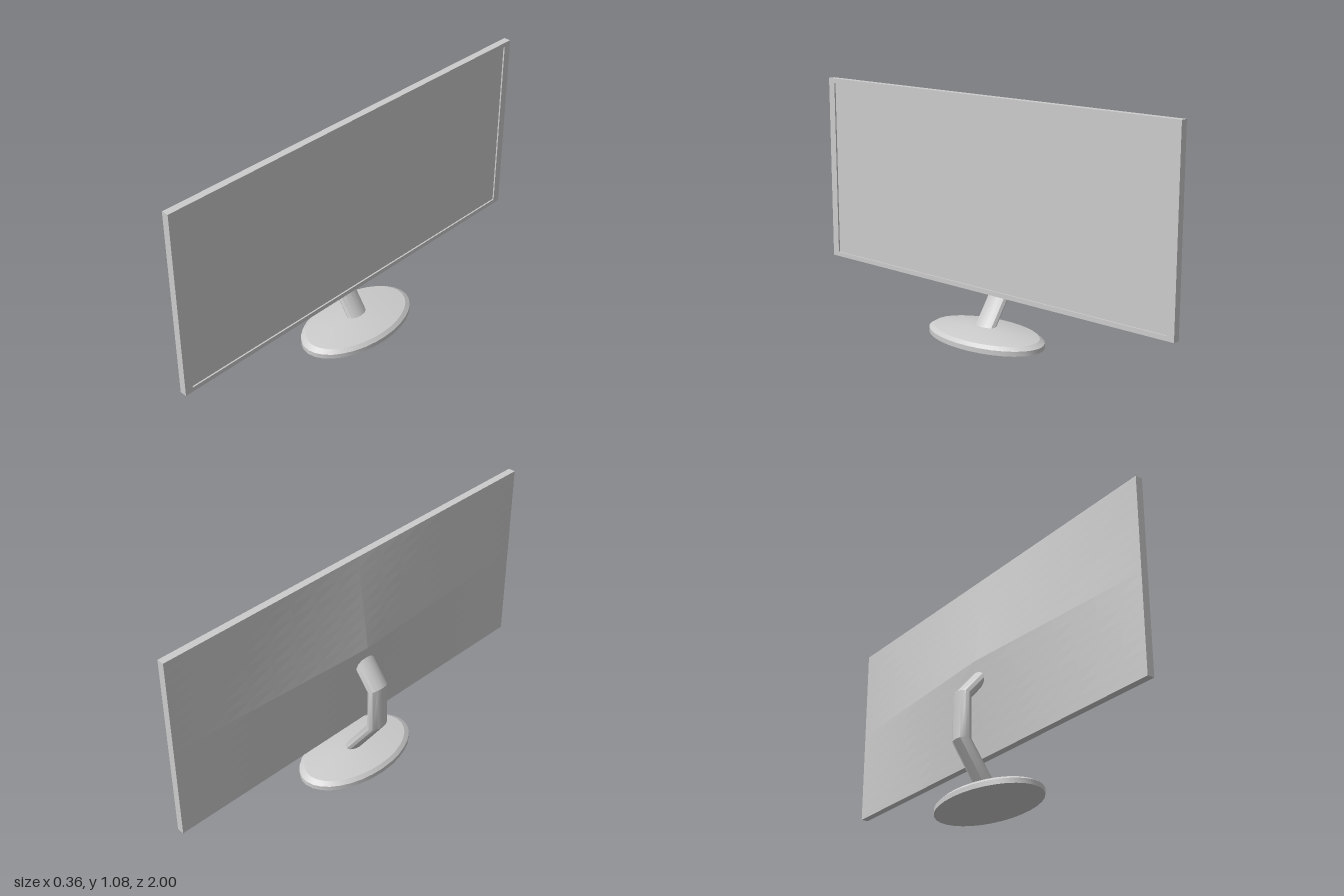
import * as THREE from 'three';
import { toCreasedNormals } from 'three/addons/utils/BufferGeometryUtils.js';

const WIDTH = 2, HEIGHT = 0.87, CENTER_Y = 0.645;
const BACK_X = -0.018, FRONT_X = 0.015, SCREEN_X = 0.008;
const STRETCH_Z = 1.7; // stand sections are ovals, longer along z

const material = new THREE.MeshStandardMaterial({ color: 0xcccccc });
const flatMaterial = new THREE.MeshStandardMaterial({ color: 0xcccccc, flatShading: true });

function addMesh(parent, name, geometry, mat = material) {
  const mesh = new THREE.Mesh(geometry, mat);
  mesh.name = name;
  parent.add(mesh);
  return mesh;
}

function rectangle(path, w, h) {
  return path.moveTo(-w / 2, -h / 2).lineTo(w / 2, -h / 2).lineTo(w / 2, h / 2).lineTo(-w / 2, h / 2).closePath();
}

// Rectangular frame around the recessed screen, facing +x
function frameGeometry() {
  const shape = rectangle(new THREE.Shape(), WIDTH, HEIGHT);
  shape.holes.push(rectangle(new THREE.Path(), WIDTH - 0.075, HEIGHT - 0.042));
  const geometry = new THREE.ExtrudeGeometry(shape, { depth: FRONT_X - BACK_X, bevelEnabled: false });
  return geometry.rotateY(Math.PI / 2).translate(BACK_X, CENTER_Y, 0);
}

// Back cover rising from the panel's edges to a peak in the middle
function backGeometry() {
  const geometry = new THREE.PlaneGeometry(WIDTH, HEIGHT, 16, 16);
  const pos = geometry.attributes.position;
  for (let i = 0; i < pos.count; i++) {
    const u = 1 - Math.abs(pos.getX(i)) / (WIDTH / 2);
    const v = 1 - Math.abs(pos.getY(i)) / (HEIGHT / 2);
    pos.setZ(i, 0.058 * u * v);
  }
  return geometry.rotateY(-Math.PI / 2).translate(BACK_X, CENTER_Y, 0);
}

// Bent arm: each ring is [centre x, centre y, half-width x, half-width y]
function armGeometry() {
  const rings = [
    [0.017, 0.035, 0.032, 0],
    [-0.138, 0.257, 0.032, -0.001],
    [-0.138, 0.463, 0.029, -0.014],
    [-0.035, 0.585, 0.022, -0.021],
  ];
  const sides = 12, points = [], index = [];
  rings.forEach(([x, y, hx, hy], j) => {
    for (let i = 0; i < sides; i++) {
      const a = (i / sides) * Math.PI * 2, c = Math.cos(a);
      points.push(x + hx * c, y + hy * c, 0.0315 * STRETCH_Z * Math.sin(a));
      if (j === rings.length - 1) continue;
      const p = j * sides + i, q = j * sides + (i + 1) % sides;
      index.push(p, p + sides, q, q, p + sides, q + sides);
    }
  });
  const geometry = new THREE.BufferGeometry();
  geometry.setAttribute('position', new THREE.Float32BufferAttribute(points, 3));
  geometry.setIndex(index);
  return toCreasedNormals(geometry, 0.6);
}

// Oval foot with a small bevel and a gently sloping top
function baseGeometry() {
  const profile = [[0, 0], [0.18, 0], [0.18, 0.022], [0.165, 0.037], [0.062, 0.06], [0, 0.06]];
  const geometry = new THREE.LatheGeometry(profile.map(([r, y]) => new THREE.Vector2(r, y)), 32);
  return toCreasedNormals(geometry.scale(1, 1, STRETCH_Z), 0.4);
}

export function createModel() {
  const model = new THREE.Group();
  model.name = 'monitor';

  const display = new THREE.Group();
  display.name = 'display';
  addMesh(display, 'frame', frameGeometry());
  const depth = SCREEN_X - BACK_X;
  addMesh(display, 'screen', new THREE.BoxGeometry(depth, HEIGHT - 0.04, WIDTH - 0.07))
    .position.set(BACK_X + depth / 2, CENTER_Y, 0);
  addMesh(display, 'backCover', backGeometry(), flatMaterial);

  const stand = new THREE.Group();
  stand.name = 'stand';
  addMesh(stand, 'arm', armGeometry());
  addMesh(stand, 'base', baseGeometry());

  model.add(display, stand);
  return model;
}
